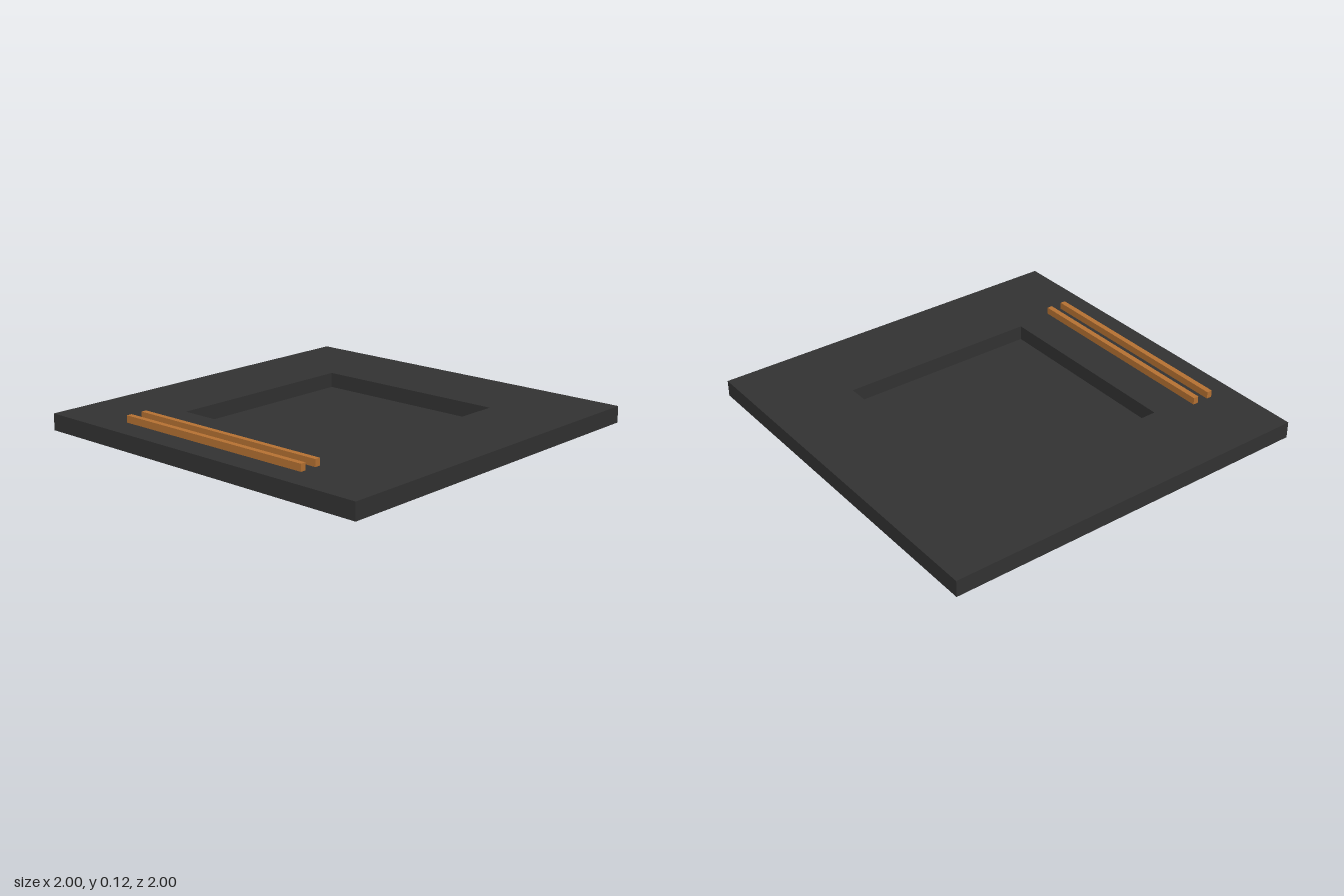
import * as THREE from 'three';

const dark = new THREE.MeshStandardMaterial({ color: 0x333333 });
const copper = new THREE.MeshStandardMaterial({ color: 0xb87333 });

// Corners of a centred square with the given half side
const square = (h) => [[-h, -h], [h, -h], [h, h], [-h, h]].map(([x, y]) => new THREE.Vector2(x, y));

export function createModel() {
  const group = new THREE.Group();
  const height = 0.087, floor = 0.008, recess = 0.538;

  // Square frame around the recess
  const shape = new THREE.Shape(square(1));
  shape.holes.push(new THREE.Path(square(recess).reverse()));
  const frameGeo = new THREE.ExtrudeGeometry(shape, { depth: height, bevelEnabled: false });
  frameGeo.rotateX(-Math.PI / 2);
  const frame = new THREE.Mesh(frameGeo, dark);
  frame.name = 'baseFrame';
  group.add(frame);

  // Thin floor closing the recess
  const panel = new THREE.Mesh(new THREE.BoxGeometry(recess * 2, floor, recess * 2), dark);
  panel.name = 'recessFloor';
  panel.position.y = floor / 2;
  group.add(panel);

  // Two copper strips along the front edge
  [0.757, 0.849].forEach((z, i) => {
    const strip = new THREE.Mesh(new THREE.BoxGeometry(1.163, 0.037, 0.029), copper);
    strip.name = i ? 'frontStrip' : 'rearStrip';
    strip.position.set(-0.02, height + 0.0185, z);
    group.add(strip);
  });

  return group;
}
